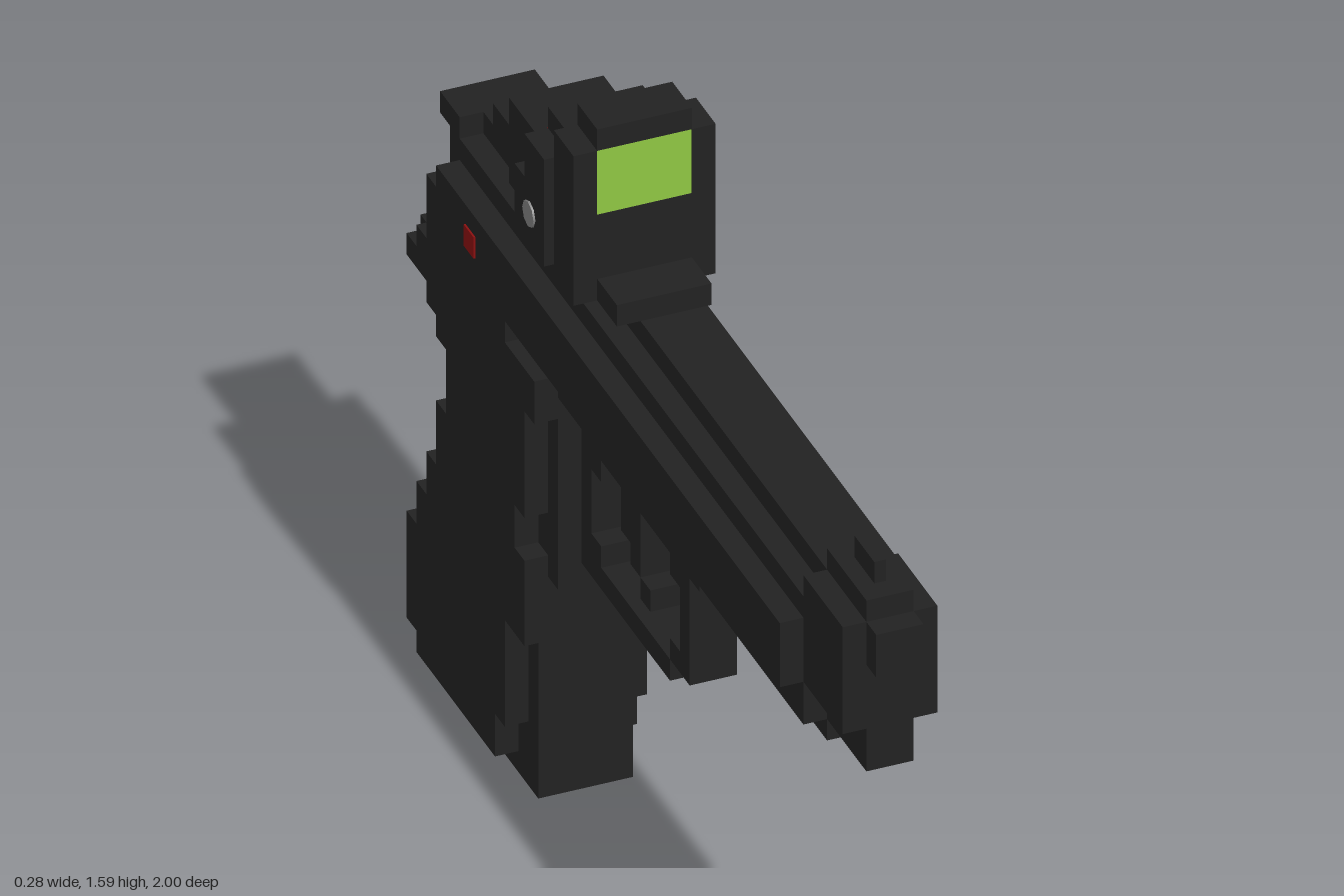
import * as THREE from 'three';

const U = 2 / 44; // one block; columns run from the muzzle (0) to the back (44)

export function createModel() {
  const model = new THREE.Group();
  const mat = (name, color) => {
    const m = new THREE.MeshStandardMaterial({ color });
    m.name = name;
    return m;
  };
  const black = mat('gunBlack', 0x222222);
  const green = mat('lensGreen', 0x8fc642);
  const red = mat('markRed', 0x8a1010);
  const grey = mat('buttonGrey', 0x808080);

  const part = (name) => {
    const g = new THREE.Group();
    g.name = name;
    model.add(g);
    return g;
  };
  // Box in block units: x range, column range, row range
  const block = (parent, x0, x1, c0, c1, r0, r1, material = black, name = parent.name + 'Block') => {
    const mesh = new THREE.Mesh(
      new THREE.BoxGeometry((x1 - x0) * U, (r1 - r0) * U, (c1 - c0) * U), material);
    mesh.position.set((x0 + x1) / 2 * U, (r0 + r1) / 2 * U, 1 - (c0 + c1) / 2 * U);
    mesh.name = name;
    parent.add(mesh);
    return mesh;
  };
  // List of [half width, col0, col1, row0, row1] centred on x = 0
  const blocks = (name, list) => {
    const g = part(name);
    for (const [w, ...r] of list) block(g, -w, w, ...r);
    return g;
  };

  blocks('muzzle', [
    [1, 0, 1, 25, 27],
    [2, 1, 5, 22, 27],
    [1, 1, 5, 20, 22],
  ]);

  blocks('slide', [
    [3, 5, 40, 22, 25],
    [2, 5, 40, 25, 26],
    [1, 5, 40, 26, 27],
    [2, 40, 42, 26, 27],
    [2, 40, 41, 22, 26],
    [3, 40, 41, 22, 24],
  ]);

  blocks('frame', [
    [2, 5, 33, 20, 22],
    [1, 5, 31, 19, 20],
    [1, 18, 31, 18, 19],
  ]);

  blocks('frontSight', [
    [1, 1, 5, 27, 28],
    [0.25, 2, 4, 28, 29],
  ]);

  const rearSight = blocks('rearSight', [[1, 35, 39, 27, 28]]);
  for (const s of [-1, 1]) block(rearSight, s * 0.75 - 0.25, s * 0.75 + 0.25, 36, 37, 28, 29);

  blocks('triggerGuard', [
    [1, 19, 20, 13, 18],
    [1, 20, 21, 17, 18],
    [1, 20, 21, 13, 14],
    [1, 21, 31, 12, 13],
    [1, 28, 30, 13, 14],
    [1, 28, 30, 17, 18],
    [1, 29, 31, 14, 17],
  ]);

  blocks('trigger', [
    [1, 24, 26, 16, 18],
    [1, 24, 25, 15, 16],
    [1, 23, 24, 14, 15],
  ]);

  // Narrow core of the grip, row by row
  blocks('gripCore', [
    [2, 32, 41, 0, 1], [2, 32, 43, 1, 2], [2, 32, 44, 2, 7], [2, 32, 43, 7, 8],
    [2, 31, 43, 8, 9], [2, 31, 42, 9, 11], [2, 30, 41, 11, 14], [2, 30, 40, 14, 17],
    [2, 30, 41, 17, 18], [2, 30, 42, 18, 19], [2, 30, 44, 19, 20], [2, 30, 43, 20, 21],
    [2, 33, 42, 21, 22],
  ]);

  // Wide side panels of the grip, row by row
  blocks('gripPanels', [
    [3, 34, 42, 1, 2], [3, 34, 43, 2, 3], [3, 33, 43, 3, 7], [3, 33, 42, 7, 8],
    [3, 31, 42, 8, 9], [3, 31, 41, 9, 11], [3, 31, 40, 11, 12], [3, 32, 40, 12, 14],
    [3, 31, 39, 14, 17], [3, 31, 40, 17, 18], [3, 31, 41, 18, 19], [3, 30, 43, 19, 20],
    [3, 30, 42, 20, 21], [3, 33, 41, 21, 22],
  ]);

  // Optic: base, window frame, emitter housing and side panels
  const optic = blocks('optic', [
    [2, 24, 26, 27, 28],
    [2, 26, 35, 27, 31],
    [3, 26, 28, 27, 31],
    [2, 26, 28, 34, 35],
    [3, 29, 31, 27, 32],
    [2, 29, 31, 32, 33],
    [3, 31, 32, 27, 30],
  ]);
  for (const s of [-1, 1]) block(optic, s * 2.5 - 0.5, s * 2.5 + 0.5, 26, 28, 31, 34);
  block(optic, -2, 2, 26.02, 27.98, 31, 34, green, 'lens');
  block(optic, -2, 2, 30.95, 31.08, 31, 32, red, 'emitter');

  // Rear button: a flattened disc
  const button = new THREE.Mesh(new THREE.CylinderGeometry(0.026, 0.026, 0.008, 8), grey);
  button.name = 'rearButton';
  button.rotation.x = Math.PI / 2;
  button.scale.x = 2;
  button.position.set(0, 29.3 * U, 1 - 35 * U);
  optic.add(button);

  // Knobs and safety marks on both sides
  const marks = part('sideMarks');
  for (const s of [-1, 1]) {
    const knob = new THREE.Mesh(new THREE.CylinderGeometry(0.026, 0.026, 0.008, 8), grey);
    knob.name = 'opticKnob';
    knob.rotation.set(0, 0, Math.PI / 2);
    knob.position.set(s * 3 * U, 28.6 * U, 1 - 30.45 * U);
    marks.add(knob);
    block(marks, s * 3 - 0.08, s * 3 + 0.08, 36, 37, 23.1, 24.1, red, 'safetyMark');
  }

  return model;
}
